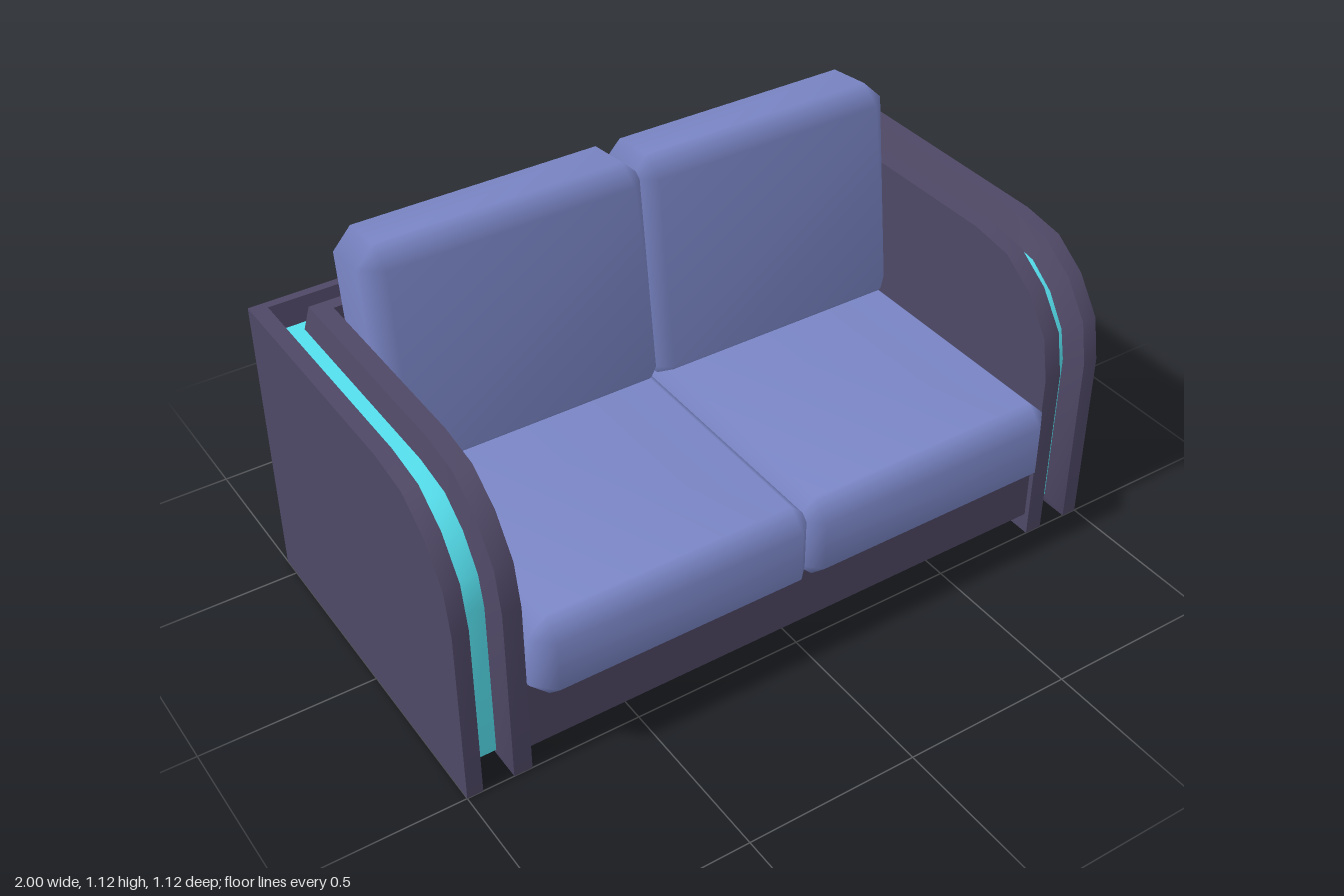
import * as THREE from 'three';
import { toCreasedNormals, mergeVertices } from 'three/addons/utils/BufferGeometryUtils.js';
import { ConvexGeometry } from 'three/addons/geometries/ConvexGeometry.js';

const frameMat = new THREE.MeshStandardMaterial({ color: 0x4f4866 });
const stripMat = new THREE.MeshStandardMaterial({ color: 0x55e0ee });
const cushionMat = new THREE.MeshStandardMaterial({ color: 0x7a86c6 });

// Arm profiles as [z, y], front bottom to top; the back end is added per layer
const FULL = [[0.5, 0], [0.5, 0.54], [0.475, 0.665], [0.4, 0.77], [0.3, 0.84], [0.17, 0.86]];
const INSET = [[0.44, 0.05], [0.44, 0.53], [0.42, 0.62], [0.36, 0.71], [0.28, 0.77], [0.16, 0.79]];

// Layers through the U-shaped wall, outside to inside: half width, back z, profile
const LAYERS = [
  [1, -0.56, FULL], [0.955, -0.535, FULL], [0.933, -0.522, INSET],
  [0.882, -0.49, INSET], [0.867, -0.48, FULL], [0.815, -0.44, FULL],
];

// Closed loop: up the left arm, across the back, down the right arm, back underneath
function loop([x, back, profile]) {
  const arm = [...profile, [back, profile[5][1]]];
  const bottom = profile[0][1];
  return [
    ...arm.map(([z, y]) => [x, y, z]),
    ...[...arm].reverse().map(([z, y]) => [-x, y, z]),
    [-x, bottom, back], [x, bottom, back],
  ];
}

// Ribbon of faces joining one layer to the next
function ribbon(a, b) {
  return a.flatMap((p, i) => {
    const j = (i + 1) % a.length;
    return [b[i], p, a[j], b[i], a[j], b[j]];
  });
}

// Two arm faces and the back face of one layer
function wallFaces(l, outward) {
  const faces = [[15, 0, 1, 2, 3, 4, 5, 6], [14, 7, 8, 9, 10, 11, 12, 13], [15, 6, 7, 14]];
  return faces.flatMap((f) => {
    const out = [];
    for (let i = 1; i < f.length - 1; i++) {
      out.push(l[f[0]], l[f[outward ? i + 1 : i]], l[f[outward ? i : i + 1]]);
    }
    return out;
  });
}

function surface(points) {
  const g = new THREE.BufferGeometry();
  g.setAttribute('position', new THREE.Float32BufferAttribute(points.flat(), 3));
  return toCreasedNormals(g, 0.6);
}

// Box with one chamfer on every edge, shaded smooth
function cushionGeometry(w, h, d, c) {
  const pts = [];
  for (const sx of [-1, 1]) for (const sy of [-1, 1]) for (const sz of [-1, 1]) {
    for (let k = 0; k < 3; k++) {
      const [x, y, z] = [w, h, d].map((s, i) => s / 2 - (i === k ? 0 : c));
      pts.push(new THREE.Vector3(sx * x, sy * y, sz * z));
    }
  }
  const hull = new ConvexGeometry(pts);
  hull.deleteAttribute('normal');
  const g = mergeVertices(hull, 1e-4);
  g.computeVertexNormals();
  return g;
}

export function createModel() {
  const model = new THREE.Group();
  const add = (name, geometry, material, x = 0, y = 0, z = 0) => {
    const mesh = new THREE.Mesh(geometry, material);
    mesh.name = name;
    mesh.position.set(x, y, z);
    model.add(mesh);
    return mesh;
  };

  // Arms and back in one wall, with a groove holding the coloured strip
  const loops = LAYERS.map(loop);
  const wall = [...wallFaces(loops[0], true), ...wallFaces(loops[5], false)];
  for (const k of [0, 1, 3, 4]) wall.push(...ribbon(loops[k], loops[k + 1]));
  add('armsAndBack', surface(wall), frameMat);
  add('inlayStrip', surface(ribbon(loops[2], loops[3])), stripMat);

  // Seat base
  add('seatBase', new THREE.BoxGeometry(1.63, 0.21, 0.925), frameMat, 0, 0.165, 0.0225);

  // Two seat cushions and two leaning back cushions
  const seat = cushionGeometry(0.83, 0.26, 0.98, 0.055);
  const back = cushionGeometry(0.83, 0.68, 0.247, 0.056);
  for (const side of [1, -1]) {
    const name = side > 0 ? 'left' : 'right';
    add(name + 'SeatCushion', seat, cushionMat, side * 0.397, 0.363, 0.07);
    add(name + 'BackCushion', back, cushionMat, side * 0.397, 0.774, -0.304).rotation.x = -0.12;
  }
  return model;
}
